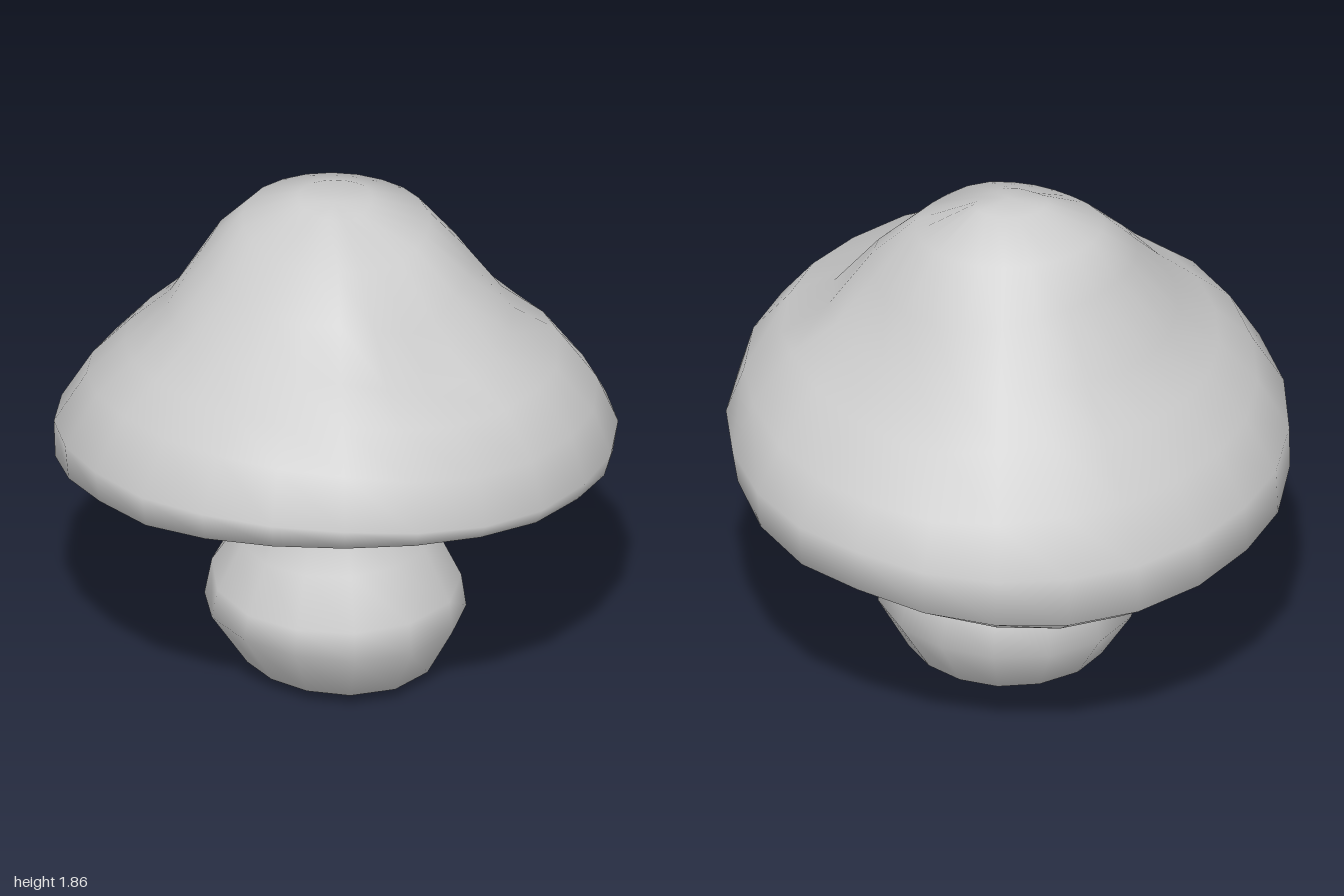
import * as THREE from 'three';
import { mergeVertices } from 'three/addons/utils/BufferGeometryUtils.js';

// Blend four [radius, height] profiles (left, front, right, back) around the y axis.
function blend(profiles, level, angle) {
  const c = Math.cos(angle), s = Math.sin(angle);
  const a = profiles[c > 0 ? 0 : 2][level], b = profiles[s > 0 ? 1 : 3][level];
  return [a[0] * c * c + b[0] * s * s, a[1] * c * c + b[1] * s * s];
}

// Skin closed rings from top to bottom; point(level, angle) returns [x, y, z].
function loft(levels, sides, point) {
  const position = [], index = [];
  for (let i = 0; i < levels; i++) {
    for (let j = 0; j < sides; j++) {
      position.push(...point(i, (j / sides) * Math.PI * 2));
      if (i === levels - 1) continue;
      const k = (j + 1) % sides, a = i * sides + j, b = i * sides + k;
      index.push(a, b, a + sides, b, b + sides, a + sides);
    }
  }
  let geometry = new THREE.BufferGeometry();
  geometry.setAttribute('position', new THREE.Float32BufferAttribute(position, 3));
  geometry.setIndex(index);
  geometry = mergeVertices(geometry, 1e-4);
  geometry.computeVertexNormals();
  return geometry;
}

// Cap profiles from the crown down over the lip and in under the gills
const capProfiles = [
  [[0, 1.855], [0.15, 1.86], [0.35, 1.77], [0.5, 1.58], [0.6, 1.41], [0.75, 1.25], [0.9, 1.05], [1, 0.9],
    [0.99, 0.74], [0.86, 0.67], [0.72, 0.71], [0.5, 0.76], [0.22, 0.82]],
  [[0, 1.855], [0.1, 1.83], [0.32, 1.74], [0.48, 1.57], [0.65, 1.4], [0.82, 1.33], [0.95, 1.17], [1, 0.99],
    [0.97, 0.93], [0.86, 0.9], [0.72, 0.94], [0.5, 0.94], [0.22, 0.92]],
  [[0, 1.855], [0.1, 1.84], [0.3, 1.74], [0.45, 1.61], [0.6, 1.48], [0.75, 1.36], [0.88, 1.26], [1, 1.07],
    [0.98, 0.95], [0.86, 0.89], [0.72, 0.92], [0.5, 0.93], [0.22, 0.92]],
  [[0, 1.855], [0.15, 1.86], [0.35, 1.78], [0.46, 1.66], [0.6, 1.4], [0.74, 1.26], [0.88, 1.09], [0.99, 0.9],
    [1, 0.73], [0.86, 0.65], [0.72, 0.69], [0.5, 0.76], [0.22, 0.82]],
];

// Lip lift at the corners: left front, right front, right back, left back
const cornerLift = [-0.02, 0.08, 0, -0.075];

// Bumps and hollows on the cap: x, z, lift, spread
const lumps = [
  [0.2, 0.45, 0.05, 0.14], [-0.1, 0.5, -0.04, 0.16], [0.6, 0.55, 0.04, 0.18], [0.35, 0.68, -0.04, 0.14],
  [-0.3, 0.4, 0.03, 0.15], [-0.5, 0.55, 0.03, 0.2], [0.75, -0.1, -0.03, 0.15], [0.55, -0.5, 0.03, 0.2],
];

function capPoint(level, angle) {
  let [r, y] = blend(capProfiles, level, angle);
  // the lip rises and droops between the four profiles
  const quarter = Math.floor(angle / (Math.PI / 2));
  const nearLip = Math.min(1, Math.max(0, (level - 4) / 5));
  y += cornerLift[quarter] * Math.abs(Math.sin(2 * angle)) * nearLip;
  const x = r * Math.cos(angle), z = r * Math.sin(angle);
  if (level < 8) {
    for (const [lx, lz, lift, spread] of lumps) {
      y += lift * Math.exp(-((x - lx) ** 2 + (z - lz) ** 2) / (spread * spread));
    }
  }
  return [x, y, z];
}

// Stem profiles from the neck to the bulbous foot
const stemProfiles = [
  [[0.27, 0.9], [0.27, 0.76], [0.34, 0.54], [0.41, 0.36], [0.44, 0.23], [0.32, 0.04], [0.2, 0], [0, 0]],
  [[0.26, 0.95], [0.27, 0.72], [0.37, 0.54], [0.47, 0.36], [0.48, 0.24], [0.38, 0.05], [0.15, 0.005], [0, 0]],
  [[0.26, 0.95], [0.27, 0.69], [0.36, 0.53], [0.45, 0.36], [0.47, 0.27], [0.33, 0.05], [0.17, 0], [0, 0]],
  [[0.27, 0.82], [0.24, 0.7], [0.32, 0.55], [0.43, 0.4], [0.46, 0.23], [0.35, 0.06], [0.15, 0.005], [0, 0]],
];

function stemPoint(level, angle) {
  let [r, y] = blend(stemProfiles, level, angle);
  // a fold pinches the neck on its left back side
  if (level === 1 || level === 2) r -= 0.06 * Math.exp(-(((angle - 5.7) / 0.35) ** 2));
  return [r * Math.cos(angle), y, r * Math.sin(angle)];
}

export function createModel() {
  const group = new THREE.Group();
  group.name = 'mushroom';
  const paleGrey = new THREE.MeshStandardMaterial({ color: 0xcccccc, side: THREE.DoubleSide });
  paleGrey.name = 'paleGrey';

  const cap = new THREE.Mesh(loft(13, 24, capPoint), paleGrey);
  cap.name = 'cap';
  const stem = new THREE.Mesh(loft(8, 14, stemPoint), paleGrey);
  stem.name = 'stem';
  group.add(cap, stem);
  return group;
}
